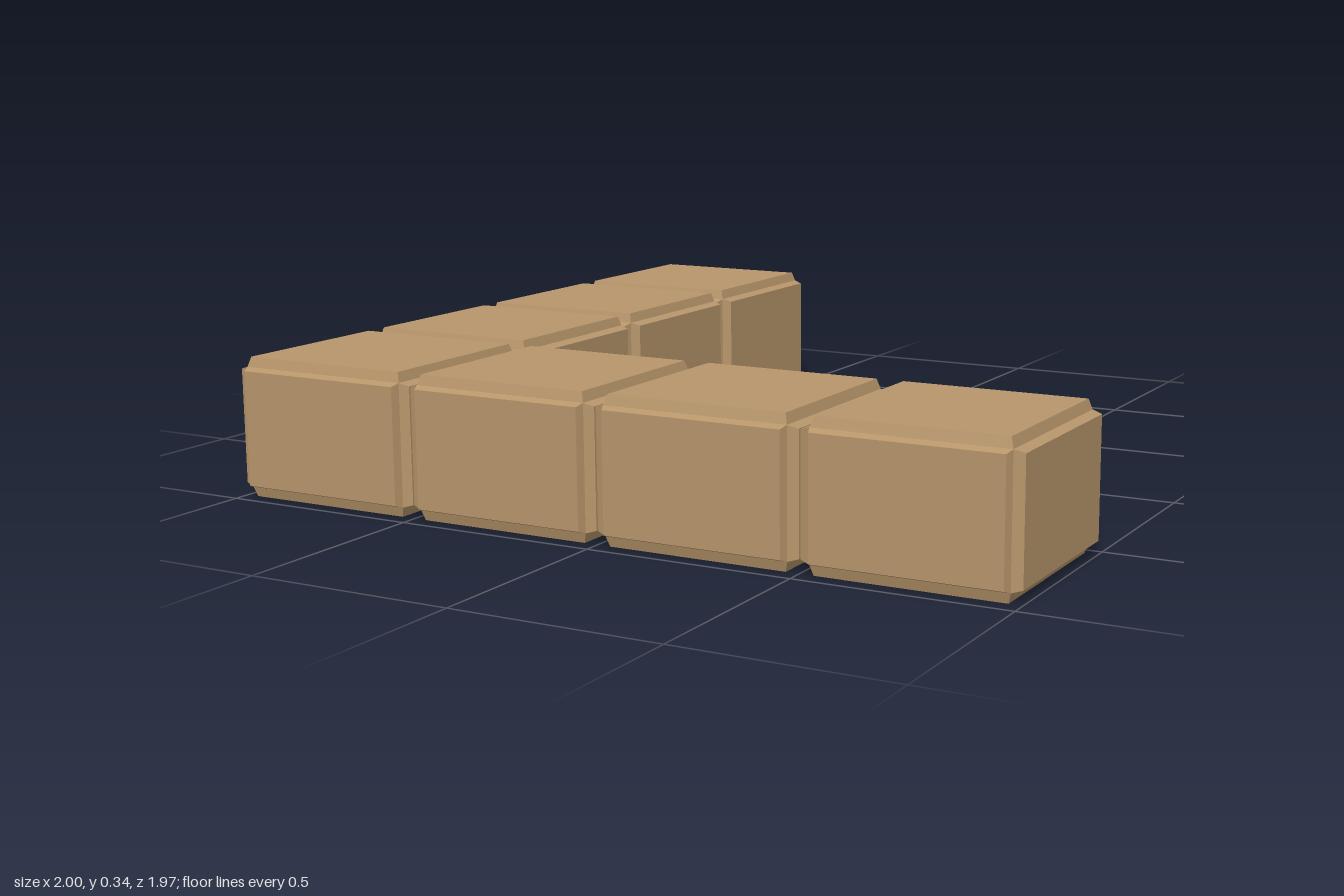
import * as THREE from 'three';

const HALF = [0.2485, 0.17, 0.2425]; // half size of one brick
const CORE = [0.2245, 0.146, 0.2235]; // half size of the core the faces rise from
const TAPER = 0.007; // how much each raised face narrows

// A brick whose six faces are raised, tapered panels with notched edges between them
function brickGeometry() {
  const pos = [];
  const quad = (a, b, c, d) => pos.push(...a, ...b, ...c, ...a, ...c, ...d);
  for (let axis = 0; axis < 3; axis++) {
    for (const sign of [1, -1]) {
      let u = (axis + 1) % 3, v = (axis + 2) % 3;
      if (sign < 0) [u, v] = [v, u];
      const ring = (depth, inset) => [[1, 1], [-1, 1], [-1, -1], [1, -1]].map(([su, sv]) => {
        const p = [0, 0, 0];
        p[axis] = sign * depth;
        p[u] = su * (CORE[u] - inset);
        p[v] = sv * (CORE[v] - inset);
        return p;
      });
      const base = ring(CORE[axis], 0);
      const tip = ring(HALF[axis], TAPER);
      quad(...tip);
      for (let i = 0; i < 4; i++) {
        const j = (i + 1) % 4;
        quad(base[i], base[j], tip[j], tip[i]);
      }
    }
  }
  const g = new THREE.BufferGeometry();
  g.setAttribute('position', new THREE.Float32BufferAttribute(pos, 3));
  g.computeVertexNormals();
  return g;
}

export function createModel() {
  const model = new THREE.Group();
  model.name = 'cornerBrickRow';
  const sandstone = new THREE.MeshStandardMaterial({ color: 0xb8966b });
  sandstone.name = 'sandstone';
  const geometry = brickGeometry();

  const addBrick = (name, x, z) => {
    const brick = new THREE.Mesh(geometry, sandstone);
    brick.name = name;
    brick.position.set(x, HALF[1], z);
    model.add(brick);
  };

  const x0 = -1 + HALF[0], stepX = 0.501;
  const z0 = 0.984 - HALF[2], stepZ = 0.4943;
  // Corner brick, then three along the front and three running back
  addBrick('cornerBrick', x0, z0);
  for (let i = 1; i < 4; i++) {
    addBrick('frontBrick' + i, x0 + i * stepX, z0);
    addBrick('sideBrick' + i, x0, z0 - i * stepZ);
  }
  return model;
}
